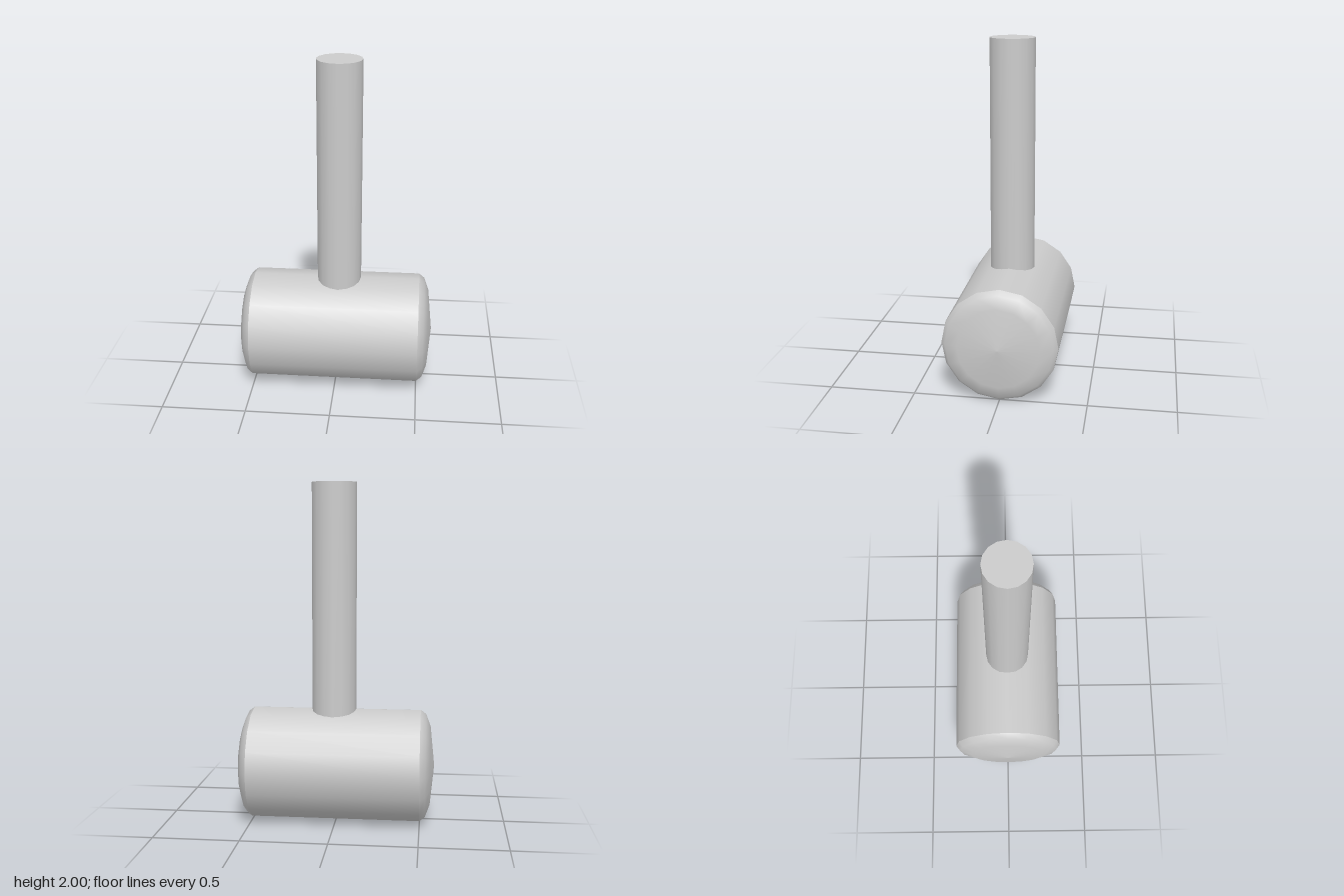
import * as THREE from 'three';

export function createModel() {
  const group = new THREE.Group();
  const material = new THREE.MeshStandardMaterial({ color: 0xcccccc });
  const sides = 16, radius = 0.333, halfLength = 0.5;

  const add = (name, geometry, parent) => {
    const mesh = new THREE.Mesh(geometry, material);
    mesh.name = name;
    parent.add(mesh);
    return mesh;
  };

  // Mallet head, built along y and laid along x
  const head = new THREE.Group();
  head.name = 'head';
  head.rotation.z = -Math.PI / 2;
  head.position.y = radius;
  group.add(head);
  add('headBarrel', new THREE.CylinderGeometry(radius, radius, halfLength * 2, sides, 1, true), head);

  // Domed striking faces at both ends
  const profile = [[radius, 0], [0.308, 0.032], [0.235, 0.059], [0, 0.083]]
    .map(([r, y]) => new THREE.Vector2(r, y));
  for (const side of [1, -1]) {
    const face = add(side > 0 ? 'leftFace' : 'rightFace', new THREE.LatheGeometry(profile, sides), head);
    face.position.y = side * halfLength;
    if (side < 0) face.rotation.x = Math.PI;
  }

  // Handle rising from inside the head, slightly off centre
  const bottom = 0.4, top = 2;
  const handle = add('handle', new THREE.CylinderGeometry(0.132, 0.132, top - bottom, sides), group);
  handle.position.set(0.016, (top + bottom) / 2, 0);

  return group;
}
